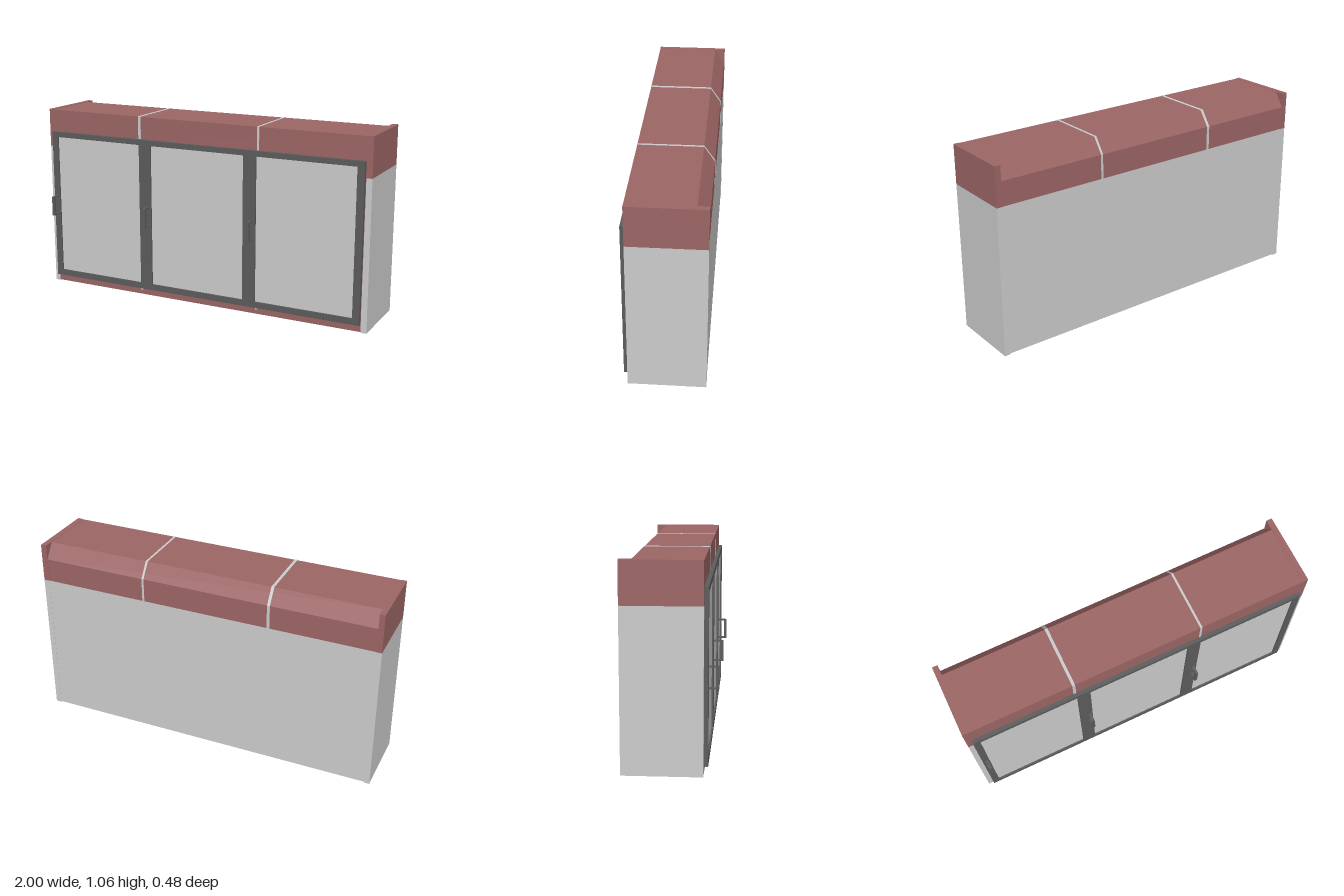
import * as THREE from 'three';

const grey = new THREE.MeshStandardMaterial({ color: 0xcccccc });
const red = new THREE.MeshStandardMaterial({ color: 0x9c6565 });
const dark = new THREE.MeshStandardMaterial({ color: 0x5c5c5c });

const BACK = -0.24, FRONT = 0.167, TOP = 1.06, BAND = 0.84;
const LEFT = 0.967, RIGHT = -0.97;

export function createModel() {
  const model = new THREE.Group();

  const add = (name, geometry, material, parent = model) => {
    const mesh = new THREE.Mesh(geometry, material);
    mesh.name = name;
    parent.add(mesh);
    return mesh;
  };

  // Box given by its limits on each axis
  const box = (name, material, [x0, x1], [y0, y1], [z0, z1], parent) => {
    const mesh = add(name, new THREE.BoxGeometry(x1 - x0, y1 - y0, z1 - z0), material, parent);
    mesh.position.set((x0 + x1) / 2, (y0 + y1) / 2, (z0 + z1) / 2);
    return mesh;
  };

  // Side profile of [z, y] points extruded along x
  const extrudeX = (name, material, points, x0, x1) => {
    const shape = new THREE.Shape(points.map(([z, y]) => new THREE.Vector2(-z, y)));
    const geometry = new THREE.ExtrudeGeometry(shape, { depth: x1 - x0, bevelEnabled: false });
    geometry.rotateY(Math.PI / 2).translate(x0, 0, 0);
    return add(name, geometry, material);
  };

  // Cabinet carcass and the red plinth along its front foot
  box('carcass', grey, [RIGHT, LEFT], [0.004, BAND], [BACK + 0.002, FRONT - 0.02]);
  box('plinth', red, [RIGHT, LEFT], [0.004, BAND], [FRONT - 0.02, FRONT]);

  // Canopy with a chamfered rear edge
  const canopy = (g) => [
    [FRONT + g, BAND], [FRONT + g, TOP - 0.002 + g], [-0.18 - g / 2, TOP - 0.002 + g],
    [BACK + 0.002 - g, 0.975 + g / 2], [BACK + 0.002 - g, BAND],
  ];
  extrudeX('canopy', red, canopy(0), RIGHT, LEFT);

  // Pale joint strips wrapping the canopy and plinth
  for (const [x0, x1] of [[-0.388, -0.372], [0.353, 0.365]]) {
    extrudeX('jointStrip', grey, canopy(0.002), x0, x1);
    box('plinthJoint', grey, [x0, x1], [0.03, 0.06], [FRONT, FRONT + 0.002]);
  }

  // Full-height end panels, red above and grey below
  for (const [x0, x1] of [[-1, RIGHT], [LEFT, 1]]) {
    box('endPanel', grey, [x0, x1], [0, BAND], [BACK, FRONT]);
    box('endPanelBand', red, [x0, x1], [BAND, TOP], [BACK, FRONT]);
  }

  // Door frame with three glazed openings
  const doors = [[-0.932, -0.375], [-0.3, 0.28], [0.356, 0.925]];
  const frame = new THREE.Shape([
    [RIGHT, 0.045], [0.965, 0.045], [0.965, 0.93], [RIGHT, 0.93],
  ].map((p) => new THREE.Vector2(...p)));
  for (const [x0, x1] of doors) {
    frame.holes.push(new THREE.Path([
      [x0, 0.08], [x0, 0.9], [x1, 0.9], [x1, 0.08],
    ].map((p) => new THREE.Vector2(...p))));
    box('doorPane', grey, [x0, x1], [0.08, 0.9], [FRONT, 0.18]);
  }
  const frameGeometry = new THREE.ExtrudeGeometry(frame, { depth: 0.022, bevelEnabled: false });
  add('doorFrame', frameGeometry.translate(0, 0, FRONT), dark);

  // Bracket-shaped pull handles
  for (const x of [-0.947, -0.318, 0.334]) {
    const handle = new THREE.Group();
    handle.name = 'handle';
    const width = [x - 0.008, x + 0.008];
    box('handleGrip', dark, width, [0.43, 0.545], [0.225, 0.24], handle);
    box('handleLowerArm', dark, width, [0.43, 0.438], [0.189, 0.225], handle);
    box('handleUpperArm', dark, width, [0.537, 0.545], [0.189, 0.225], handle);
    model.add(handle);
  }

  return model;
}
